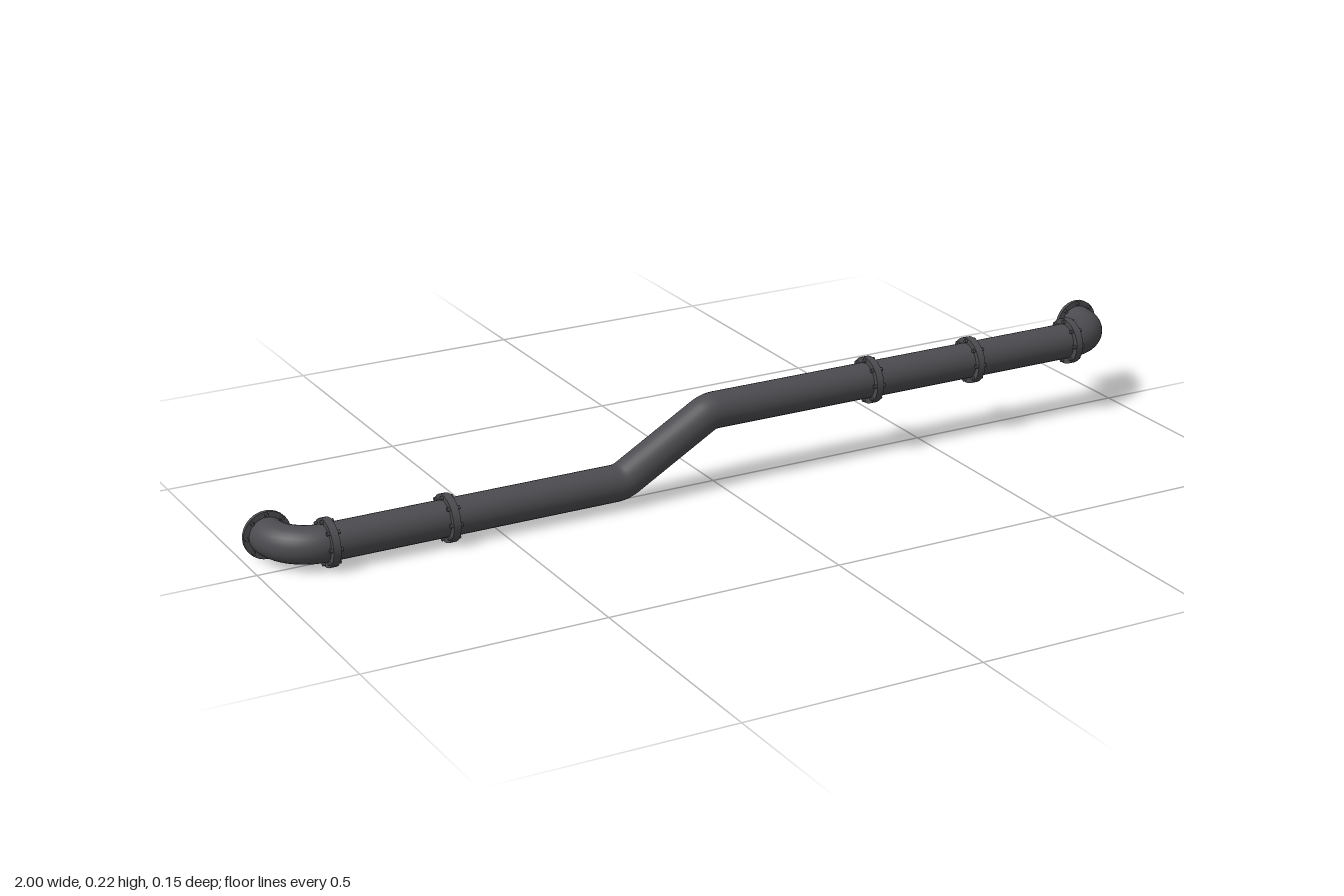
import * as THREE from 'three';

const R = 0.038;          // pipe radius
const FLANGE_R = 0.0495;
const FLANGE_T = 0.008;
const Z = 0.024;          // centre line of the run
const BACK = -0.0725;     // wall plane
const LOW = 0.0495, HIGH = 0.1655;
const ELBOW_X = 0.866, END_X = 0.9505;

export function createModel() {
  const model = new THREE.Group();
  const iron = new THREE.MeshStandardMaterial({ color: 0x4c4b4f });
  const v = (x, y, z = Z) => new THREE.Vector3(x, y, z);

  const addTube = (name, curve, segments) => {
    const mesh = new THREE.Mesh(new THREE.TubeGeometry(curve, segments, R, 28, false), iron);
    mesh.name = name;
    model.add(mesh);
  };

  // Flange disc along local y, with a ring of bolt heads on its +y side
  const makeFlange = (name) => {
    const group = new THREE.Group();
    group.name = name;
    const disc = new THREE.Mesh(new THREE.CylinderGeometry(FLANGE_R, FLANGE_R, FLANGE_T, 28), iron);
    disc.name = 'flangeDisc';
    group.add(disc);
    for (let i = 0; i < 8; i++) {
      const a = i * Math.PI / 4;
      const bolt = new THREE.Mesh(new THREE.CylinderGeometry(0.004, 0.004, 0.006, 6), iron);
      bolt.name = 'bolt';
      bolt.position.set(Math.cos(a) * 0.0435, FLANGE_T / 2 + 0.0025, Math.sin(a) * 0.0435);
      group.add(bolt);
    }
    return group;
  };

  // Straight runs, sloped offset and its two soft bends
  const a = v(-0.226, LOW), b = v(-0.024, HIGH);
  const dir = b.clone().sub(a).normalize();
  const soft = 0.016;
  const a0 = v(a.x - soft, LOW), a1 = a.clone().addScaledVector(dir, soft);
  const b0 = b.clone().addScaledVector(dir, -soft), b1 = v(b.x + soft, HIGH);
  addTube('lowerRun', new THREE.LineCurve3(v(-ELBOW_X, LOW), a0), 1);
  addTube('lowerBend', new THREE.QuadraticBezierCurve3(a0, a, a1), 5);
  addTube('slopedRun', new THREE.LineCurve3(a1, b0), 1);
  addTube('upperBend', new THREE.QuadraticBezierCurve3(b0, b, b1), 5);
  addTube('upperRun', new THREE.LineCurve3(b1, v(ELBOW_X, HIGH)), 1);

  // Elbows turning back to the wall, each closed by a wall flange
  for (const [side, y, label] of [[-1, LOW, 'right'], [1, HIGH, 'left']]) {
    const r = END_X - ELBOW_X, k = 0.5523 * r;
    addTube(label + 'Elbow', new THREE.CubicBezierCurve3(
      v(side * ELBOW_X, y), v(side * (ELBOW_X + k), y),
      v(side * END_X, y, Z - r + k), v(side * END_X, y, Z - r)), 14);
    addTube(label + 'Stub', new THREE.LineCurve3(
      v(side * END_X, y, Z - r), v(side * END_X, y, BACK + 0.002)), 1);
    const wall = makeFlange(label + 'WallFlange');
    wall.rotation.x = Math.PI / 2;
    wall.position.set(side * END_X, y, BACK + FLANGE_T / 2);
    model.add(wall);
  }

  // Bolted joints: two flanges back to back
  const joints = [[-0.862, LOW], [-0.61, LOW], [0.358, HIGH], [0.61, HIGH], [0.862, HIGH]];
  for (const [x, y] of joints) {
    const joint = new THREE.Group();
    joint.name = 'pipeJoint';
    for (const s of [-1, 1]) {
      const flange = makeFlange('jointFlange');
      flange.rotation.z = -s * Math.PI / 2;
      flange.position.x = s * FLANGE_T / 2;
      joint.add(flange);
    }
    joint.position.set(x, y, Z);
    model.add(joint);
  }
  return model;
}
